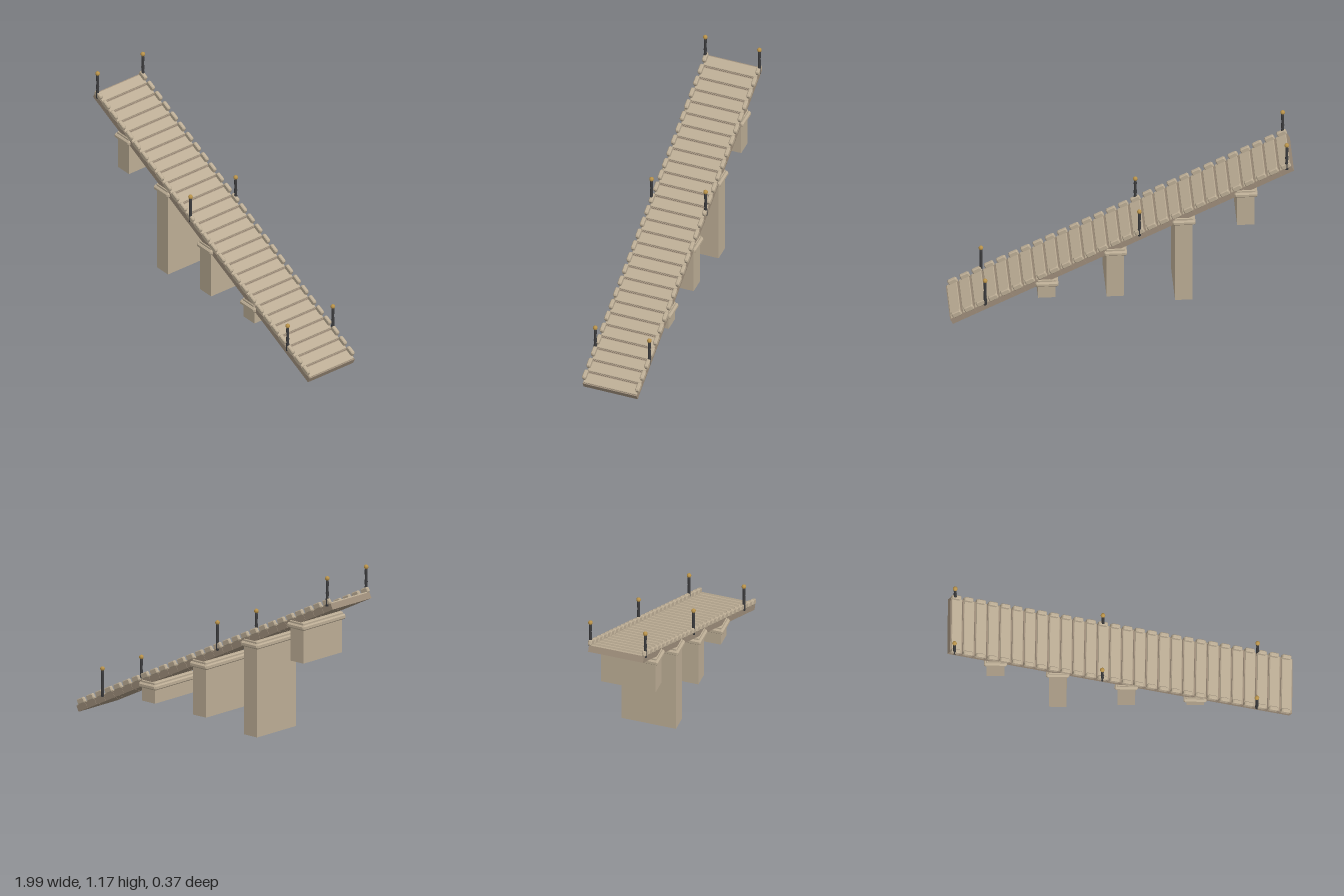
import * as THREE from 'three';

const mat = (name, color) => {
  const m = new THREE.MeshStandardMaterial({ color });
  m.name = name;
  return m;
};

// Box with chamfered edges all round, centred on the origin
function chamferBox(w, h, d, c) {
  const a = w / 2 - c, b = h / 2 - c;
  const s = new THREE.Shape();
  const k = Math.min(a, b) * 0.3;
  s.moveTo(-a + k, -b);
  s.lineTo(a - k, -b);
  s.lineTo(a, -b + k);
  s.lineTo(a, b - k);
  s.lineTo(a - k, b);
  s.lineTo(-a + k, b);
  s.lineTo(-a, b - k);
  s.lineTo(-a, -b + k);
  s.closePath();
  const g = new THREE.ExtrudeGeometry(s, {
    depth: d - 2 * c, bevelEnabled: true, bevelThickness: c, bevelSize: c, bevelSegments: 1,
  });
  return g.translate(0, 0, -(d - 2 * c) / 2);
}

export function createModel() {
  const stone = mat('pale stone', 0xbbac94);
  const slabStone = mat('brown stone', 0x9c8c79);
  const iron = mat('dark iron', 0x3c3c3e);
  const brass = mat('brass', 0xb8924a);

  const model = new THREE.Group();
  model.name = 'slopingBridge';
  const add = (parent, name, geo, material, x, y, z) => {
    const m = new THREE.Mesh(geo, material);
    m.name = name;
    m.position.set(x, y, z);
    parent.add(m);
    return m;
  };

  // Sloping deck, built flat along its own x axis and then tilted
  const count = 28, length = 2.21, pitch = length / count;
  const angle = Math.atan(0.496);
  const deck = new THREE.Group();
  deck.name = 'deck';
  deck.position.set(-0.0015, 0.508, 0);
  deck.rotation.z = -angle;
  model.add(deck);

  const slabGeo = new THREE.BoxGeometry(pitch - 0.0015, 0.037, 0.336);
  const plankGeo = chamferBox(0.065, 0.014, 0.33, 0.002);
  const kerbGeo = chamferBox(0.058, 0.034, 0.023, 0.005);
  for (let i = 0; i < count; i++) {
    const x = -length / 2 + (i + 0.5) * pitch;
    add(deck, 'deckSlab', slabGeo, slabStone, x, 0, 0);
    add(deck, 'tread', plankGeo, stone, x, 0.0185, 0);
    for (const side of [-1, 1]) {
      add(deck, 'kerbStone', kerbGeo, stone, x - 0.012, 0.035, side * 0.1655);
    }
  }
  const deckY = (x) => 0.507 - 0.496 * x;

  // Piers with a projecting moulding below the deck
  const piers = [[-0.72, 0.615], [-0.36, 0.105], [0.037, 0.15], [0.435, 0.16]];
  const bandGeo = chamferBox(0.134, 0.03, 0.37, 0.008);
  for (const [x, bottom] of piers) {
    const top = deckY(x + 0.05) + 0.018;
    const pier = new THREE.Group();
    pier.name = 'pier';
    pier.position.x = x;
    model.add(pier);
    add(pier, 'pierShaft', new THREE.BoxGeometry(0.102, top - 0.03 - bottom, 0.335), stone, 0, (top - 0.03 + bottom) / 2, 0);
    add(pier, 'pierMoulding', bandGeo, stone, 0, top - 0.027, 0);
    add(pier, 'pierCap', chamferBox(0.11, 0.024, 0.345, 0.004), stone, 0, top - 0.01, 0);
  }

  // Turned posts with ball finials, standing in pairs
  const profile = [[0, 0], [0.01, 0], [0.01, 0.04], [0.008, 0.055], [0.0095, 0.08], [0.0075, 0.1], [0.009, 0.135], [0.008, 0.16], [0, 0.16]];
  const postGeo = new THREE.LatheGeometry(profile.map(([r, y]) => new THREE.Vector2(r, y)), 12);
  const ballGeo = new THREE.SphereGeometry(0.0135, 16, 12);
  for (const [x, y] of [[-0.957, 1.162], [-0.102, 0.738], [0.793, 0.295]]) {
    for (const side of [-1, 1]) {
      add(model, 'post', postGeo, iron, x, y - 0.167, side * 0.168);
      add(model, 'finial', ballGeo, brass, x, y, side * 0.168);
    }
  }
  return model;
}
